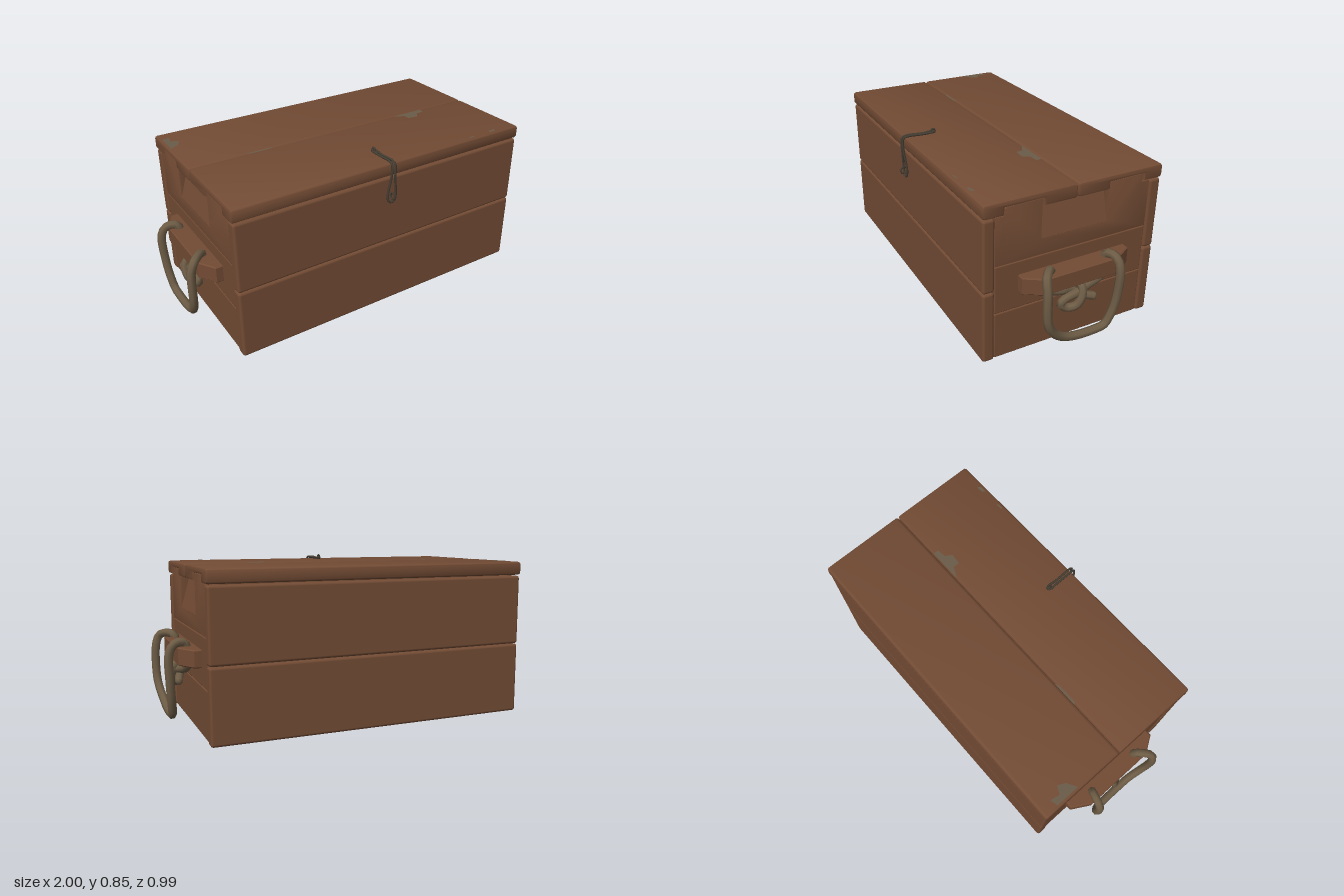
import * as THREE from 'three';
import { toCreasedNormals } from 'three/addons/utils/BufferGeometryUtils.js';
import { RoundedBoxGeometry } from 'three/addons/geometries/RoundedBoxGeometry.js';

const mat = (name, color) => {
  const m = new THREE.MeshStandardMaterial({ color });
  m.name = name;
  return m;
};
const V = (p) => new THREE.Vector3(p[0], p[1], p[2]);

export function createModel() {
  const wood = mat('brownWood', 0x724b34);
  const rope = mat('rope', 0x6e5d46);
  const metal = mat('darkMetal', 0x453e33);
  const worn = mat('wornPatch', 0x6b5c48);
  const chest = new THREE.Group();
  chest.name = 'chest';

  const add = (name, geo, material, parent = chest) => {
    const mesh = new THREE.Mesh(geo, material);
    mesh.name = name;
    parent.add(mesh);
    return mesh;
  };
  // Rounded board given by its limits on each axis
  const board = (name, x0, x1, y0, y1, z0, z1, r, parent) => {
    const g = new RoundedBoxGeometry(x1 - x0, y1 - y0, z1 - z0, 2, r);
    g.translate((x0 + x1) / 2, (y0 + y1) / 2, (z0 + z1) / 2);
    return add(name, g, wood, parent);
  };
  // Profile drawn in (z, y), extruded along x and centred on cx
  const extrudeX = (shape, width, cx, bevel) => {
    const g = new THREE.ExtrudeGeometry(shape, {
      depth: width - 2 * bevel, bevelEnabled: true, bevelThickness: bevel,
      bevelSize: bevel, bevelOffset: -bevel, bevelSegments: 2, curveSegments: 4,
    });
    g.translate(0, 0, bevel - width / 2);
    g.rotateY(-Math.PI / 2);
    g.translate(cx, 0, 0);
    return toCreasedNormals(g, 0.6);
  };
  const polygon = (pts) => new THREE.Shape(pts.map(([a, b]) => new THREE.Vector2(a, b)));
  const tube = (name, pts, r, sides, material, parent, closed = false) => {
    const curve = new THREE.CatmullRomCurve3(pts.map(V), closed, 'centripetal');
    return add(name, new THREE.TubeGeometry(curve, pts.length * 3, r, sides, closed), material, parent);
  };

  // Front and back boards, two high
  for (const [name, z0, z1] of [['front', 0.397, 0.457], ['back', -0.49, -0.43]]) {
    board(name + 'LowerBoard', -0.85, 0.85, 0, 0.374, z0, z1, 0.014);
    board(name + 'UpperBoard', -0.85, 0.85, 0.376, 0.745, z0, z1, 0.014);
  }
  // Floor
  add('floor', new THREE.BoxGeometry(1.64, 0.03, 0.88).translate(0, 0.027, -0.017), wood);

  // Lid planks, notched underneath for the end tabs
  const lidPlank = (name, z0, z1, n0, n1) => {
    const b = 0.75, t = 0.82, n = 0.788, r = 0.018;
    const s = new THREE.Shape();
    s.moveTo(z0 + r, b);
    s.lineTo(n0, b);
    s.lineTo(n0, n);
    s.lineTo(n1, n);
    s.lineTo(n1, b);
    s.lineTo(z1 - r, b);
    s.quadraticCurveTo(z1, b, z1, b + r);
    s.lineTo(z1, t - r);
    s.quadraticCurveTo(z1, t, z1 - r, t);
    s.lineTo(z0 + r, t);
    s.quadraticCurveTo(z0, t, z0, t - r);
    s.lineTo(z0, b + r);
    s.quadraticCurveTo(z0, b, z0 + r, b);
    add(name, extrudeX(s, 1.71, 0, 0.012), wood);
  };
  lidPlank('lidFrontPlank', -0.017, 0.459, 0.157, 0.353);
  lidPlank('lidBackPlank', -0.492, -0.019, -0.388, -0.194);

  for (const s of [1, -1]) {
    const end = new THREE.Group();
    end.name = s > 0 ? 'leftEnd' : 'rightEnd';
    chest.add(end);
    const lo = s > 0 ? 0.78 : -0.843, hi = lo + 0.063;

    // End planks
    board('endLowerPlank', lo, hi, 0.004, 0.249, -0.428, 0.395, 0.006, end);
    board('endMiddlePlank', lo, hi, 0.251, 0.499, -0.428, 0.395, 0.006, end);
    // Upper plank with two tabs that reach into the lid
    const upper = polygon([
      [-0.428, 0.501], [0.395, 0.501], [0.395, 0.745], [0.35, 0.745], [0.35, 0.775],
      [0.34, 0.785], [0.16, 0.785], [0.16, 0.585], [-0.197, 0.585], [-0.197, 0.785],
      [-0.375, 0.785], [-0.385, 0.775], [-0.385, 0.745], [-0.428, 0.745],
    ]);
    add('endUpperPlank', extrudeX(upper, 0.063, s * 0.8115, 0.002), wood, end);
    // Sloped finger grip between the tabs
    const grip = new THREE.ExtrudeGeometry(
      polygon([[s * 0.76, 0.56], [s * 0.842, 0.56], [s * 0.842, 0.585], [s * 0.795, 0.752], [s * 0.76, 0.752]]),
      { depth: 0.361, bevelEnabled: false });
    add('fingerGrip', grip.translate(0, 0, -0.199), wood, end);

    // Handle bar with chamfered ends
    const bar = new THREE.ExtrudeGeometry(
      polygon([[s * 0.835, 0.31], [s * 0.878, 0.31], [s * 0.935, 0.21],
        [s * 0.935, -0.185], [s * 0.878, -0.275], [s * 0.835, -0.275]]),
      { depth: 0.078, bevelEnabled: true, bevelThickness: 0.005, bevelSize: 0.005, bevelOffset: -0.005, bevelSegments: 1 });
    bar.rotateX(-Math.PI / 2).translate(0, 0.346, 0);
    add('handleBar', bar, wood, end);

    // Rope loop threaded through the bar
    const side = (pts) => pts.map(([x, y, z]) => [s * x, y, z]);
    tube('ropeLoop', side([
      [0.885, 0.39, 0.135], [0.89, 0.44, 0.135], [0.92, 0.452, 0.165], [0.955, 0.44, 0.195],
      [0.975, 0.39, 0.2], [0.978, 0.22, 0.192], [0.97, 0.155, 0.16], [0.96, 0.105, 0.1],
      [0.958, 0.082, 0.03], [0.958, 0.077, -0.08], [0.96, 0.088, -0.14], [0.967, 0.15, -0.172],
      [0.975, 0.25, -0.19], [0.976, 0.4, -0.193], [0.955, 0.44, -0.189], [0.92, 0.452, -0.18],
      [0.89, 0.44, -0.17], [0.885, 0.39, -0.168],
    ]), 0.022, 7, rope, end);
    // Knot below the bar
    const tail = [0.915, 0.243, -0.095];
    tube('ropeKnotFrontStrand', side([
      [0.885, 0.36, 0.16], [0.885, 0.325, 0.13], [0.89, 0.308, 0.07], [0.882, 0.295, 0.01],
      [0.9, 0.262, -0.035], tail,
    ]), 0.021, 7, rope, end);
    tube('ropeKnotBackStrand', side([
      [0.885, 0.36, -0.18], [0.885, 0.32, -0.15], [0.895, 0.298, -0.07], [0.91, 0.285, 0],
      [0.905, 0.268, 0.055], [0.9, 0.24, 0.078], [0.905, 0.215, 0.045], [0.925, 0.228, 0.005],
      [0.932, 0.275, -0.02], [0.915, 0.32, -0.027], [0.885, 0.315, -0.02], [0.872, 0.27, -0.01],
    ]), 0.021, 7, rope, end);
    add('ropeEnd', new THREE.SphereGeometry(0.021, 7, 4), rope, end)
      .position.set(s * tail[0], tail[1], tail[2]);
  }

  // Wire latch folded over the front edge of the lid
  const latch = new THREE.Group();
  latch.name = 'latch';
  chest.add(latch);
  const strand = [
    [0.008, 0.83, 0.3], [0.008, 0.827, 0.36], [0.009, 0.83, 0.455], [0.009, 0.822, 0.473],
    [0.01, 0.79, 0.477], [0.013, 0.74, 0.474], [0.023, 0.67, 0.468], [0.024, 0.635, 0.467], [0.015, 0.613, 0.469],
  ];
  const otherStrand = strand.map(([x, y, z]) => [-x, y, z]).reverse();
  tube('latchWire', [...strand, ...otherStrand], 0.006, 6, metal, latch, true);
  for (const [name, y, z, r] of [['lidStaple', 0.832, 0.306, 0.013], ['frontStaple', 0.645, 0.476, 0.019]]) {
    const ring = add(name, new THREE.TorusGeometry(r, 0.005, 5, 6).rotateY(Math.PI / 2), metal, latch);
    ring.position.set(0, y, z);
  }

  // Worn patches on the lid, points in (x, z)
  const patches = [
    [[-0.84, -0.41], [-0.8, -0.42], [-0.81, -0.37], [-0.77, -0.35], [-0.79, -0.31], [-0.84, -0.28]],
    [[0.36, -0.015], [0.55, -0.015], [0.55, 0.015], [0.5, 0.02], [0.48, 0.055], [0.42, 0.05], [0.42, 0.015]],
    [[-0.54, -0.022], [-0.4, -0.022], [-0.42, -0.01], [-0.53, -0.01]],
    [[0.52, 0.432], [0.56, 0.43], [0.55, 0.44], [0.52, 0.44]],
    [[0.67, 0.425], [0.71, 0.42], [0.7, 0.44], [0.66, 0.44]],
  ];
  for (const p of patches) {
    const g = new THREE.ShapeGeometry(polygon(p.map(([x, z]) => [x, -z])));
    add('wornPatch', g.rotateX(-Math.PI / 2).translate(0, 0.8212, 0), worn);
  }
  return chest;
}
